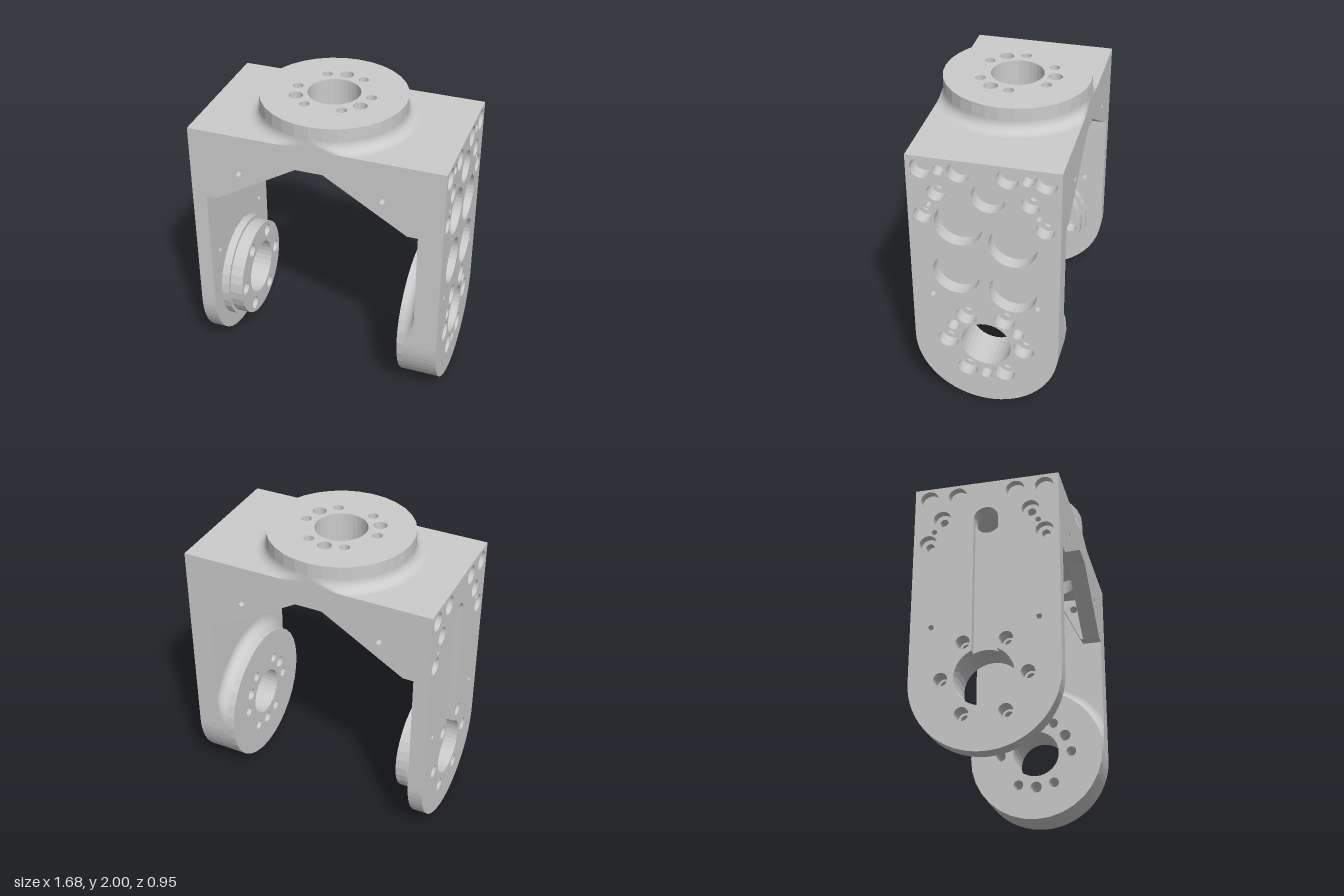
import * as THREE from 'three';

const TAU = Math.PI * 2;
const PIVOT = 0.475;   // height of the lower axis, also half the depth
const TOP_X = -0.03;   // x of the top flange axis

export function createModel() {
  const group = new THREE.Group();
  const material = new THREE.MeshStandardMaterial({ color: 0xcccccc });

  function add(name, geometry) {
    const mesh = new THREE.Mesh(geometry, material);
    mesh.name = name;
    group.add(mesh);
    return mesh;
  }

  // holes are [u, v, radius] or ready-made paths
  function extrude(shape, depth, holes = []) {
    for (const h of holes) {
      shape.holes.push(Array.isArray(h) ? new THREE.Path().absarc(h[0], h[1], h[2], 0, TAU, false) : h);
    }
    return new THREE.ExtrudeGeometry(shape, { depth, bevelEnabled: false, curveSegments: 16 });
  }
  // plate in the (-z, y) plane from x0 to x1
  const sidePlate = (name, shape, x0, x1, holes) =>
    add(name, extrude(shape, x1 - x0, holes).rotateY(Math.PI / 2).translate(x0, 0, 0));
  // plate in the (x, -z) plane from y0 to y1
  const flatPlate = (name, shape, y0, y1, holes) =>
    add(name, extrude(shape, y1 - y0, holes).rotateX(-Math.PI / 2).translate(0, y0, 0));

  const polygon = (pts) => new THREE.Shape(pts.map(([x, y]) => new THREE.Vector2(x, y)));
  const disc = (u, v, r) => new THREE.Shape().absarc(u, v, r, 0, TAU, false);
  const ring = (u, v, radius, r, count, start = 0) => Array.from({ length: count }, (_, i) => {
    const a = start + (i / count) * TAU;
    return [u + radius * Math.cos(a), v + radius * Math.sin(a), r];
  });
  const pair = (u, v, r) => [[-u, v, r], [u, v, r]];

  // leg outline: straight sides and a round lower end
  function legShape() {
    const s = new THREE.Shape();
    s.moveTo(PIVOT, 1.84);
    s.lineTo(-PIVOT, 1.84);
    s.absarc(0, PIVOT, PIVOT, Math.PI, TAU, false);
    s.closePath();
    return s;
  }

  // flared foot of a flange, trimmed to the depth of the body
  function flare(roundEnd) {
    const R = 0.07;
    const pts = [];
    for (let i = 0; i <= 8; i++) {
      const a = (i / 8) * Math.PI / 2;
      pts.push(new THREE.Vector2(PIVOT + R * (1 - Math.sin(a)), R * (1 - Math.cos(a))));
    }
    const geo = new THREE.LatheGeometry(pts, 64);
    const p = geo.attributes.position;
    for (let i = 0; i < p.count; i++) {
      const x = p.getX(i), z = p.getZ(i);
      if (roundEnd && x < 0) {
        const k = PIVOT / Math.hypot(x, z);
        p.setX(i, x * k);
        p.setZ(i, z * k);
      } else {
        p.setZ(i, THREE.MathUtils.clamp(z, -PIVOT, PIVOT));
      }
    }
    geo.computeVertexNormals();
    return geo;
  }

  // left leg: outer layer with counterbores and lightening pockets, inner layer with through holes
  const pins = ring(0, PIVOT, 0.245, 0.04, 3, Math.PI / 6);
  const bore = [0, PIVOT, 0.165];
  sidePlate('leftLegOuter', legShape(), 0.75, 0.84, [
    bore, ...pins, ...ring(0, PIVOT, 0.25, 0.068, 6),
    ...pair(0.38, 1.76, 0.068), ...pair(0.15, 1.76, 0.068), ...pair(0.27, 1.76, 0.035),
    ...pair(0.29, 1.6, 0.058), ...pair(0.38, 1.43, 0.058),
    ...pair(0.34, 1.51, 0.018), ...pair(0.34, 0.83, 0.018),
    [-0.16, 1.39, 0.153], [0.18, 1.28, 0.153], [-0.18, 1.02, 0.153], [0.18, 0.93, 0.153],
    [0.03, 1.61, 0.105],
  ]);
  const flangeHoles = [bore, ...pins, ...ring(0, PIVOT, 0.255, 0.035, 6)];
  sidePlate('leftLegInner', legShape(), 0.68, 0.75,
    [...flangeHoles, ...pair(0.29, 1.6, 0.028), ...pair(0.38, 1.43, 0.028)]);
  sidePlate('leftPivotFlange', disc(0, PIVOT, PIVOT), 0.57, 0.68, flangeHoles);
  add('leftFlangeFlare', flare(true).rotateZ(Math.PI / 2).translate(0.68, PIVOT, 0));

  // right leg: a cable slot runs down the outer layer into the pivot bore
  const slotR = 0.08, boreR = 0.19;
  const a = Math.asin(slotR / boreR);
  const keyhole = new THREE.Path();
  keyhole.absarc(0, PIVOT, boreR, Math.PI / 2 + a, Math.PI / 2 - a + TAU, false);
  keyhole.absarc(0, 1.57, slotR, 0, Math.PI, false);
  keyhole.closePath();
  const pivotScrews = ring(0, PIVOT, 0.27, 0.045, 6);
  const smallHoles = pair(0.34, 0.83, 0.018);
  sidePlate('rightLegOuter', legShape(), -0.84, -0.79, [
    keyhole, ...pivotScrews, ...smallHoles,
    ...pair(0.38, 1.76, 0.06), ...pair(0.19, 1.76, 0.06),
    ...pair(0.29, 1.6, 0.058), ...pair(0.38, 1.43, 0.058), ...pair(0.34, 1.51, 0.018),
  ]);
  sidePlate('rightLegInner', legShape(), -0.79, -0.74, [
    [0, PIVOT, boreR], [0, 1.57, slotR], ...pivotScrews, ...smallHoles,
    ...pair(0.29, 1.6, 0.028), ...pair(0.38, 1.43, 0.028),
  ]);

  // stepped bearing boss on the right leg
  sidePlate('bossStep', disc(0, PIVOT, 0.365), -0.74, -0.685, [[0, PIVOT, boreR], ...ring(0, PIVOT, 0.27, 0.03, 6)]);
  sidePlate('bossHub', disc(0, PIVOT, 0.34), -0.685, -0.595, [[0, PIVOT, boreR], ...pivotScrews]);

  // front and back gusset walls
  for (const z of [0.355, -PIVOT]) {
    const profile = polygon([
      [-0.74, 1.84], [-0.74, 1.35], [-0.67, 1.35], [-0.12, 1.68],
      [0.06, 1.68], [0.61, 1.35], [0.68, 1.35], [0.68, 1.84],
    ]);
    const holes = [[-0.505, 1.57, 0.02], [0.445, 1.57, 0.02]];
    add('gusset', extrude(profile, 0.12, holes).translate(0, 0, z));
  }

  // screw blocks in the inner corners
  for (const side of [-1, 1]) {
    for (const [x0, x1] of [[-0.74, -0.66], [0.6, 0.68]]) {
      const pts = [[0.36, 1.35], [0.36, 1.68], [0.18, 1.68], [0.34, 1.35]].map(([u, v]) => [u * side, v]);
      sidePlate('cornerBlock', polygon(pts), x0, x1, [[0.29 * side, 1.6, 0.028]]);
    }
  }

  // top plate with pockets underneath, and the round flange above it
  const topHoles = () => [
    [TOP_X, 0, 0.17],
    ...ring(TOP_X, 0, 0.245, 0.033, 6),
    ...ring(TOP_X, 0, 0.245, 0.045, 3, Math.PI / 2),
  ];
  const plate = () => polygon([[-0.74, -0.355], [0.68, -0.355], [0.68, 0.355], [-0.74, 0.355]]);
  const pockets = [-0.38, 0.38].flatMap((x) => [-0.2, 0.2].map((v) => [TOP_X + x, v, 0.14]));
  flatPlate('topPlateLower', plate(), 1.68, 1.78, [...topHoles(), ...pockets]);
  flatPlate('topPlateUpper', plate(), 1.78, 1.84, topHoles());
  flatPlate('topFlange', disc(TOP_X, 0, PIVOT), 1.84, 2, topHoles());
  add('topFlangeFlare', flare(false).translate(TOP_X, 1.84, 0));

  return group;
}
